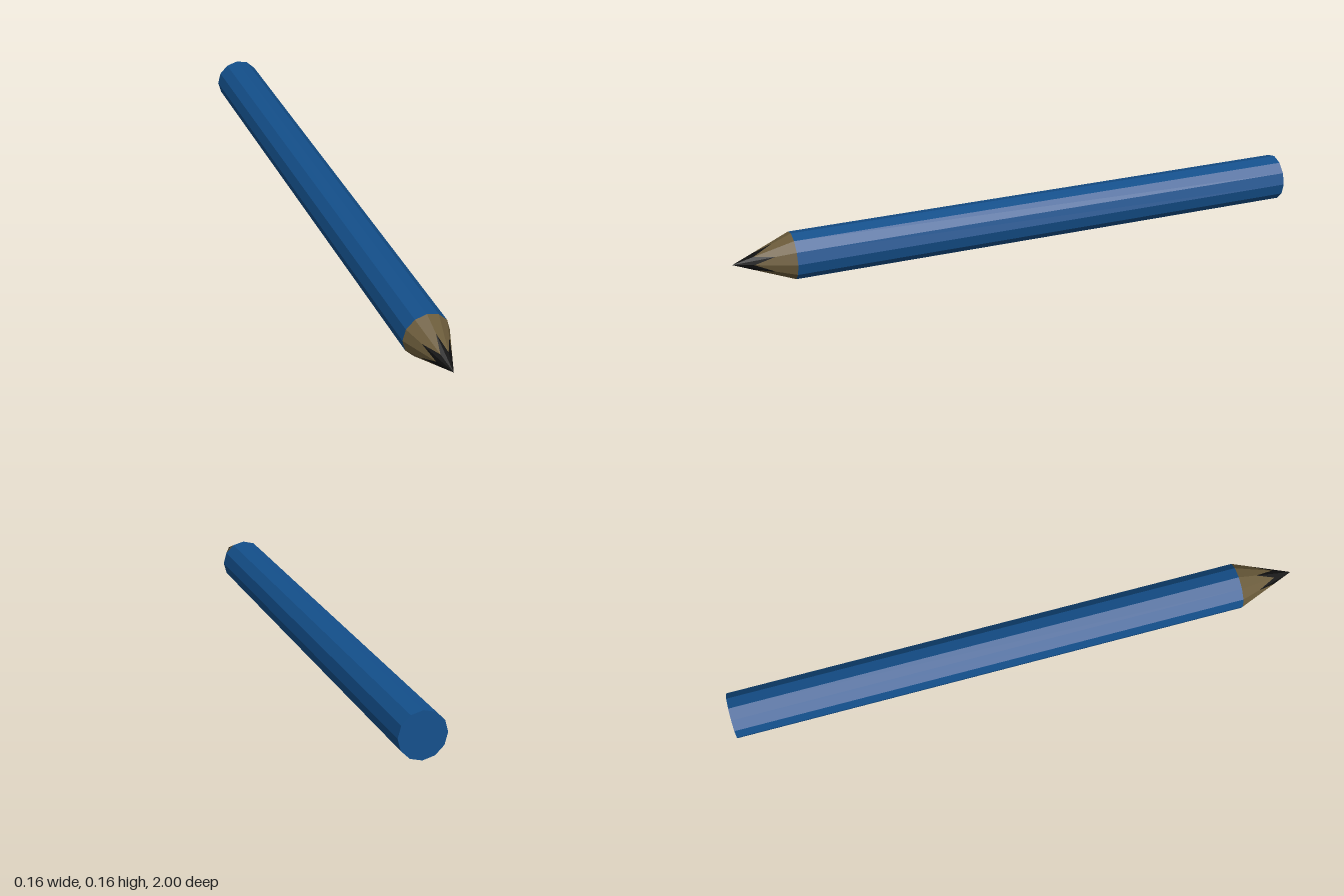
import * as THREE from 'three';

const SIDES = 12, R = 0.08, SHOULDER = 0.8, TIP = 1;

// Point on an edge of the sharpened cone: edge index and distance from the axis
function onCone(i, r) {
  const a = (i * 2 * Math.PI) / SIDES;
  return [r * Math.cos(a), r * Math.sin(a), TIP - ((TIP - SHOULDER) * r) / R];
}

function meshFrom(positions, color, name) {
  const geometry = new THREE.BufferGeometry();
  geometry.setAttribute('position', new THREE.Float32BufferAttribute(positions, 3));
  geometry.computeVertexNormals();
  const mesh = new THREE.Mesh(geometry, new THREE.MeshStandardMaterial({ color, flatShading: true }));
  mesh.name = name;
  return mesh;
}

export function createModel() {
  const pencil = new THREE.Group();
  pencil.name = 'pencil';

  // Painted twelve-sided shaft with a flat back end
  const shaftGeometry = new THREE.CylinderGeometry(R, R, SHOULDER + 1, SIDES);
  shaftGeometry.rotateX(Math.PI / 2).translate(0, 0, (SHOULDER - 1) / 2);
  const shaft = new THREE.Mesh(
    shaftGeometry,
    new THREE.MeshStandardMaterial({ color: 0x14508c, flatShading: true })
  );
  shaft.name = 'shaft';

  // Sharpened cone: the lead meets the wood in a six-pointed zigzag
  const wood = [], lead = [];
  const leadRadius = (i) => (i % 2 ? 0.053 : 0.027);
  for (let i = 0; i < SIDES; i++) {
    const a = onCone(i, R), b = onCone(i + 1, R);
    const c = onCone(i + 1, leadRadius(i + 1)), d = onCone(i, leadRadius(i));
    wood.push(...a, ...b, ...c, ...a, ...c, ...d);
    lead.push(...d, ...c, 0, 0, TIP);
  }

  pencil.add(shaft, meshFrom(wood, 0x6b5b3a, 'sharpenedWood'), meshFrom(lead, 0x0f0f0f, 'leadTip'));
  pencil.children.forEach((part) => (part.position.y = R));
  return pencil;
}
